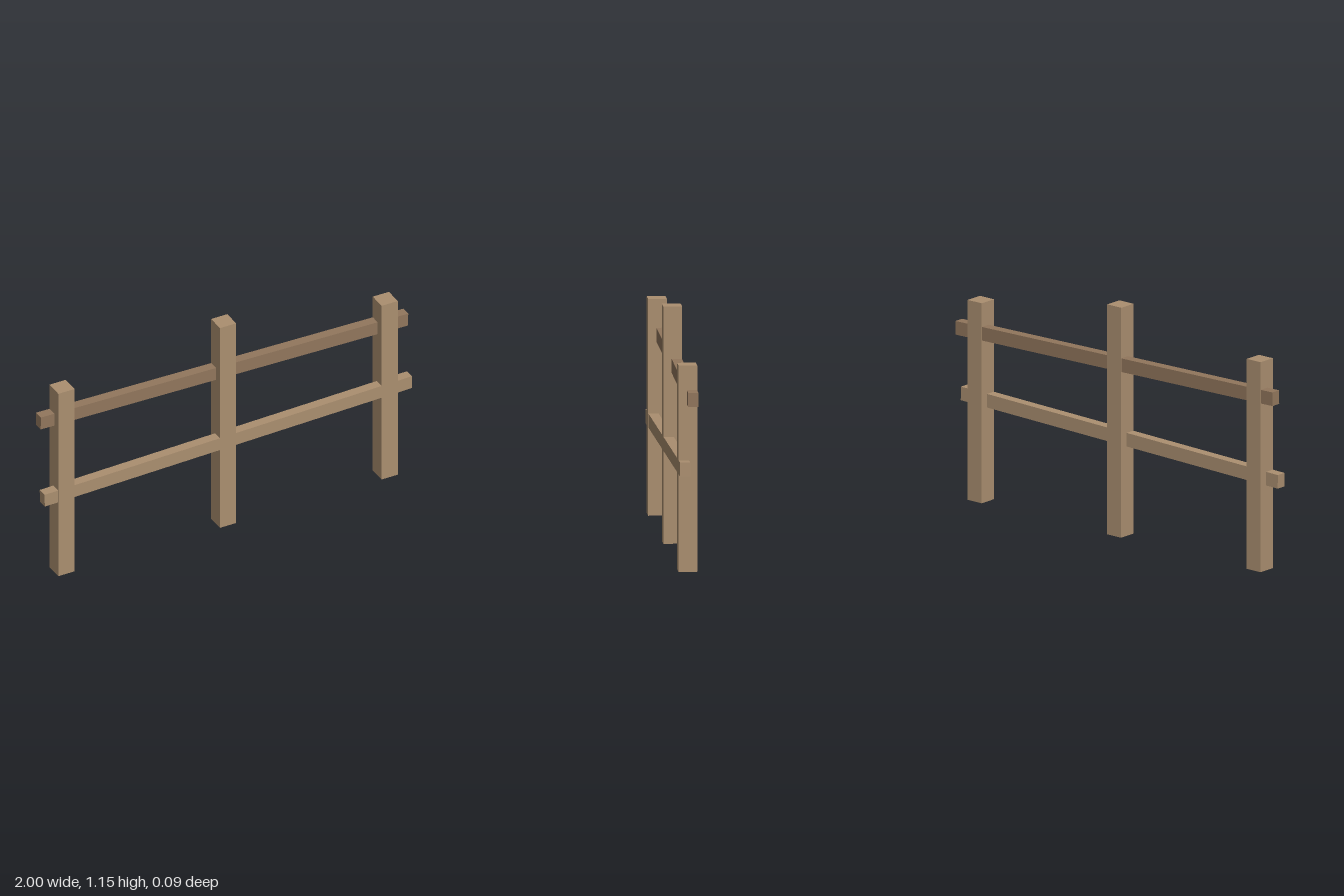
import * as THREE from 'three';

export function createModel() {
  const fence = new THREE.Group();
  fence.name = 'fence';
  const lightWood = new THREE.MeshStandardMaterial({ color: 0xab8f70 });
  const darkWood = new THREE.MeshStandardMaterial({ color: 0x92775d });

  const addBeam = (name, size, position, material, tilt = 0) => {
    const mesh = new THREE.Mesh(new THREE.BoxGeometry(...size), material);
    mesh.name = name;
    mesh.position.set(...position);
    mesh.rotation.z = tilt;
    fence.add(mesh);
  };

  // Upright posts of differing height
  const posts = [['rightPost', -0.881, 1.05], ['middlePost', -0.002, 1.15], ['leftPost', 0.877, 1.0]];
  for (const [name, x, height] of posts) {
    addBeam(name, [0.088, height, 0.09], [x, height / 2, 0], lightWood);
  }

  // Slightly tilted rails, one at the back and one at the front,
  // set in a hair so they do not flicker against the post faces
  const rails = [
    ['upperRail', 0.879, 0.845, -0.0195, darkWood],
    ['lowerRail', 0.457, 0.508, 0.0195, lightWood],
  ];
  for (const [name, startY, endY, z, material] of rails) {
    const tilt = Math.atan2(endY - startY, 2);
    addBeam(name, [1.998, 0.068, 0.049], [0, (startY + endY) / 2, z], material, tilt);
  }
  return fence;
}
